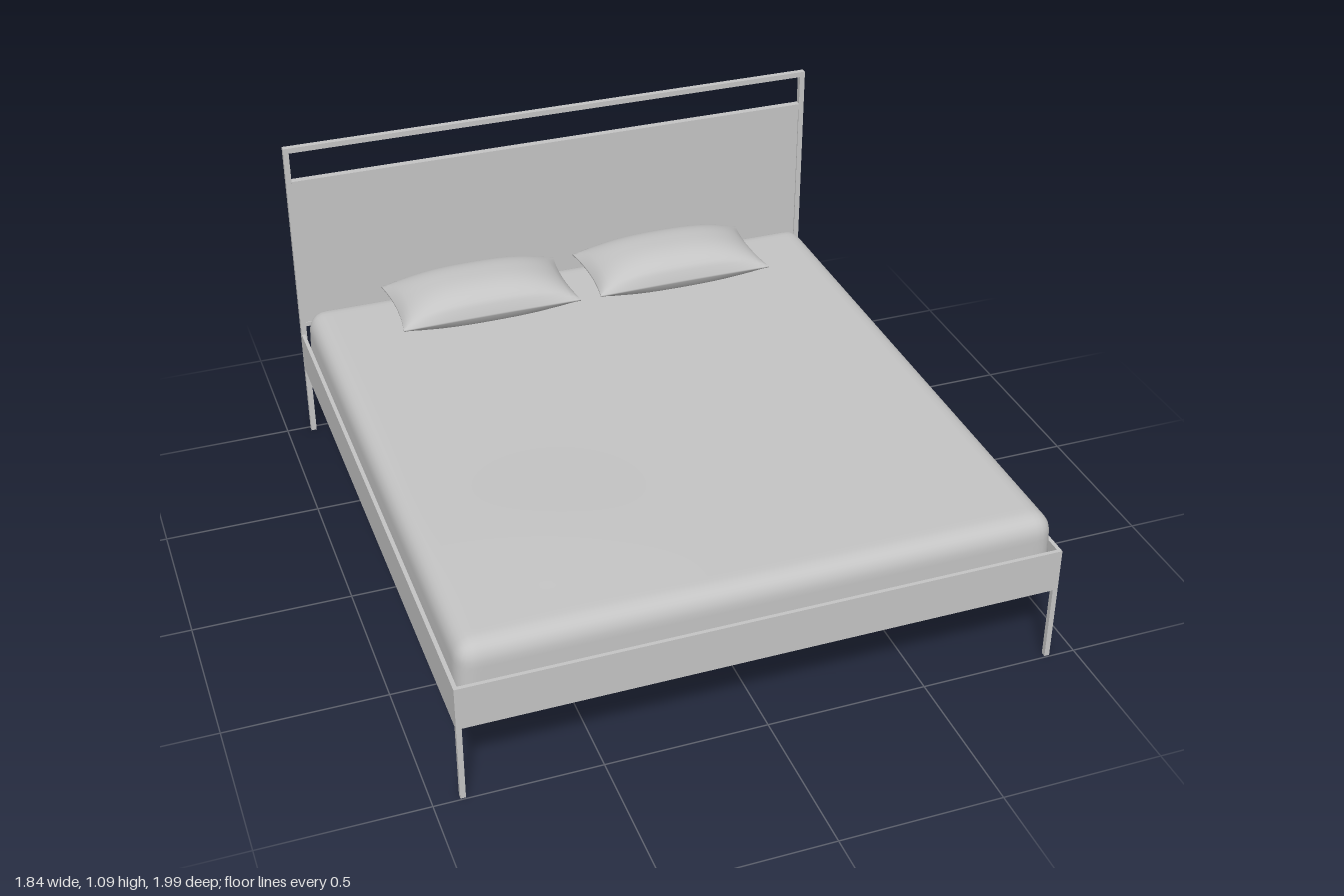
import * as THREE from 'three';
import { mergeVertices } from 'three/addons/utils/BufferGeometryUtils.js';

const grey = new THREE.MeshStandardMaterial({ color: 0xc4c4c4 });
grey.name = 'soft grey';

// Box given by its min and max corners
function box(parent, name, x0, x1, y0, y1, z0, z1) {
  const mesh = new THREE.Mesh(new THREE.BoxGeometry(x1 - x0, y1 - y0, z1 - z0), grey);
  mesh.position.set((x0 + x1) / 2, (y0 + y1) / 2, (z0 + z1) / 2);
  mesh.name = name;
  parent.add(mesh);
  return mesh;
}

// Moves every vertex by a rule and smooths the result
function reshape(geometry, rule) {
  geometry.deleteAttribute('uv');
  geometry.deleteAttribute('normal');
  const g = mergeVertices(geometry, 1e-5);
  const pos = g.attributes.position;
  const v = new THREE.Vector3();
  for (let i = 0; i < pos.count; i++) {
    rule(v.fromBufferAttribute(pos, i));
    pos.setXYZ(i, v.x, v.y, v.z);
  }
  g.computeVertexNormals();
  return g;
}

function mattressGeometry() {
  const hx = 0.905, hy = 0.1, hz = 0.968, r = 0.055;
  const inner = new THREE.Vector3(hx - r, hy - r, hz - r);
  const low = inner.clone().negate();
  const q = new THREE.Vector3();
  return reshape(new THREE.BoxGeometry(hx * 2, hy * 2, hz * 2, 90, 12, 96), (p) => {
    // round all edges
    q.copy(p).clamp(low, inner);
    p.sub(q).normalize().multiplyScalar(r).add(q);
    // lean the sides in a little, then add a soft swell near the foot
    const t = (p.y + hy) / (2 * hy);
    p.x *= 1 - 0.008 * t * t;
    p.y += t * 0.013 * Math.exp(-(((p.x + 0.5) / 0.35) ** 2) - ((p.z - 0.55) / 0.35) ** 2);
  });
}

function pillowGeometry() {
  const hx = 0.305, hz = 0.157;
  return reshape(new THREE.BoxGeometry(2, 2, 2, 36, 2, 28), (p) => {
    const u = p.x, w = p.z, side = Math.sign(p.y);
    const puff = Math.pow(1 - Math.abs(u) ** 2.6, 0.7) * Math.pow(1 - Math.abs(w) ** 2.6, 0.55);
    // edges pull in between the pointed corners
    p.x = u * hx * (1 - 0.045 * (1 - w * w) * u * u);
    p.z = w * hz * (1 - 0.03 * (1 - u * u) * w * w);
    p.y = side * (0.003 + (side > 0 ? 0.083 : 0.058) * puff);
  });
}

export function createModel() {
  const bed = new THREE.Group();
  bed.name = 'bed';

  // Frame rails, inner ledges, legs and headboard posts
  const frame = new THREE.Group();
  frame.name = 'frame';
  bed.add(frame);
  box(frame, 'footRail', -0.92, 0.92, 0.25, 0.39, 0.983, 0.995);
  box(frame, 'footLedge', -0.908, 0.908, 0.25, 0.26, 0.96, 0.983);
  box(frame, 'headRail', -0.91, 0.91, 0.25, 0.28, -0.995, -0.965);
  for (const [side, s] of [['left', 1], ['right', -1]]) {
    const span = (a, b) => (s > 0 ? [a, b] : [-b, -a]);
    box(frame, side + 'SideRail', ...span(0.908, 0.92), 0.25, 0.39, -0.976, 0.983);
    box(frame, side + 'SideLedge', ...span(0.888, 0.908), 0.25, 0.26, -0.965, 0.983);
    box(frame, side + 'FrontLeg', ...span(0.904, 0.92), 0, 0.25, 0.979, 0.995);
    box(frame, side + 'HeadboardPost', ...span(0.902, 0.92), 0, 1.09, -0.996, -0.976);
  }

  // Headboard
  const headboard = new THREE.Group();
  headboard.name = 'headboard';
  bed.add(headboard);
  box(headboard, 'topBar', -0.902, 0.902, 1.072, 1.09, -0.996, -0.976);
  box(headboard, 'middleBar', -0.902, 0.902, 0.95, 0.97, -0.998, -0.974);
  box(headboard, 'lowerBar', -0.902, 0.902, 0.42, 0.435, -0.994, -0.978);
  box(headboard, 'panel', -0.902, 0.902, 0.435, 0.95, -0.991, -0.981);

  // Slats across the frame
  const slats = new THREE.Group();
  slats.name = 'slats';
  bed.add(slats);
  const count = 28, pitch = 1.92 / count;
  for (let i = 0; i < count; i++) {
    const z = -0.95 + (i + 0.5) * pitch;
    box(slats, 'slat', -0.9, 0.9, 0.262, 0.285, z - 0.023, z + 0.023);
  }

  // Mattress
  const mattress = new THREE.Mesh(mattressGeometry(), grey);
  mattress.name = 'mattress';
  mattress.scale.y = 1.07;
  mattress.position.set(0, 0.395, 0.01);
  bed.add(mattress);

  // Pillows
  const pillow = pillowGeometry();
  for (const s of [1, -1]) {
    const mesh = new THREE.Mesh(pillow, grey);
    mesh.name = s > 0 ? 'leftPillow' : 'rightPillow';
    mesh.position.set(s * 0.34, 0.56, -0.757);
    bed.add(mesh);
  }
  return bed;
}
